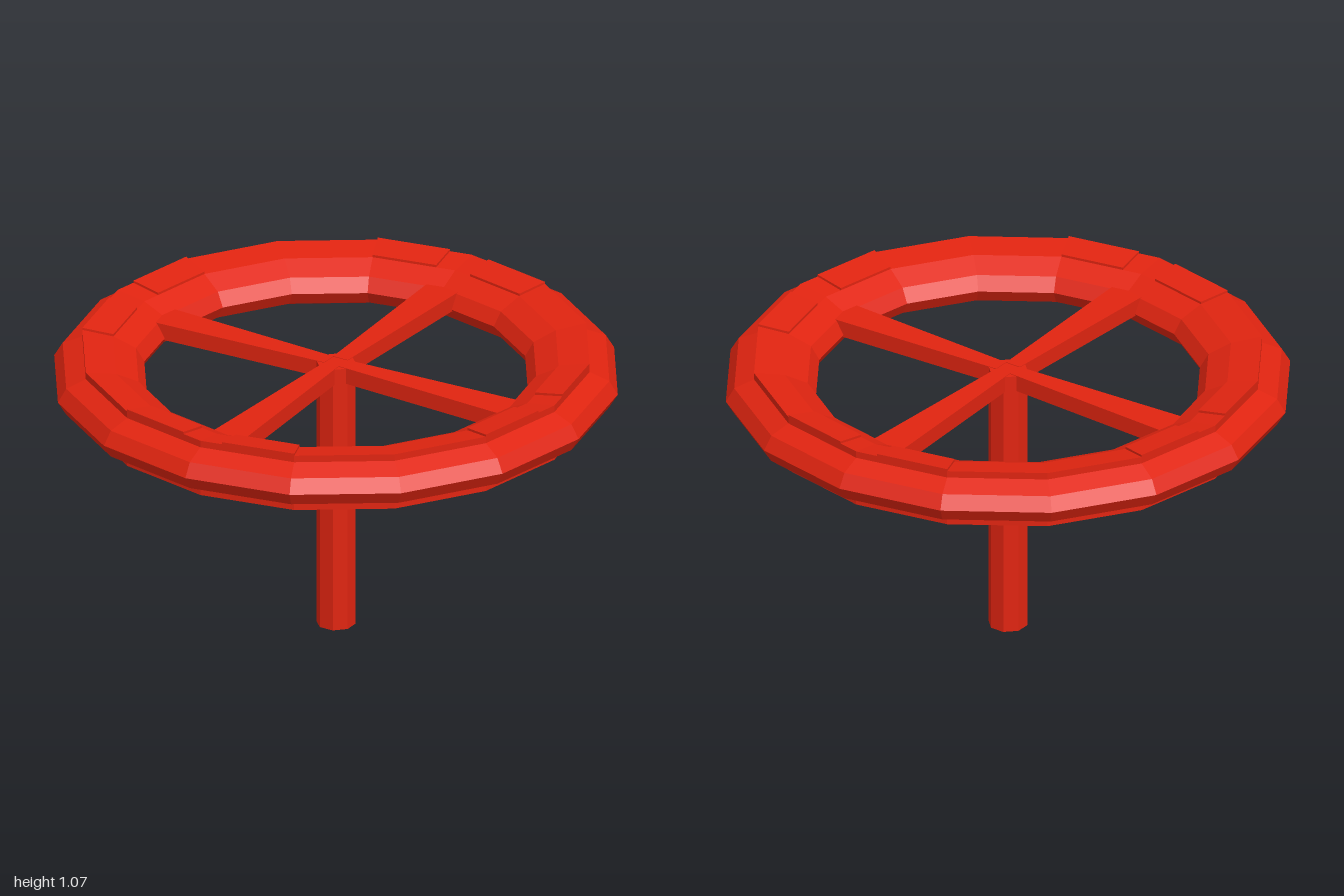
import * as THREE from 'three';

const SIDES = 16;
const STEP = (Math.PI * 2) / SIDES;

// Reshape a unit box by a rule: (x, y, z) in -0.5..0.5 -> new position
function warpBox(rule) {
  const geo = new THREE.BoxGeometry(1, 1, 1);
  const p = geo.attributes.position;
  for (let i = 0; i < p.count; i++) p.setXYZ(i, ...rule(p.getX(i), p.getY(i), p.getZ(i)));
  geo.computeVertexNormals();
  return geo;
}

// Raised pad lying on one facet of the rim, between fractions t0 and t1 of it
function padGeometry(facet, t0, t1) {
  const a = facet * STEP, b = a + STEP;
  return warpBox((x, y, z) => {
    const t = x < 0 ? t0 : t1;
    const r = z > 0 ? 0.9 : 0.79;
    const h = (z > 0 ? 1.07 : 1.054) - (y < 0 ? 0.035 : 0);
    return [
      r * THREE.MathUtils.lerp(Math.sin(a), Math.sin(b), t),
      h,
      r * THREE.MathUtils.lerp(Math.cos(a), Math.cos(b), t),
    ];
  });
}

export function createModel() {
  const group = new THREE.Group();
  const red = new THREE.MeshStandardMaterial({ color: 0xe02410 });
  red.flatShading = true;

  const add = (name, geo, parent = group) => {
    const mesh = new THREE.Mesh(geo, red);
    mesh.name = name;
    parent.add(mesh);
    return mesh;
  };

  // Rim: faceted ring with a small step on the crest, mirrored top to bottom
  const mid = 0.957;
  const upper = [[1, 0], [0.97, 0.05], [0.9, 0.08], [0.9, 0.105], [0.79, 0.088], [0.71, 0.05], [0.68, 0]];
  const lower = upper.slice(1, -1).reverse().map(([r, h]) => [r, -h]);
  const loop = [...upper, ...lower, upper[0]].map(([r, h]) => new THREE.Vector2(r, mid + h));
  add('rim', new THREE.LatheGeometry(loop, SIDES));

  // Grip pads: a pair beside each spoke
  const pads = new THREE.Group();
  pads.name = 'gripPads';
  group.add(pads);
  for (let i = 0; i < 4; i++) {
    add('gripPad', padGeometry(i * 4, 0.23, 1), pads);
    add('gripPad', padGeometry(i * 4 - 1, 0, 0.77), pads);
  }

  // Spokes: widen from the hub to the rim
  const spoke = warpBox((x, y, z) => [
    x * (z > 0 ? 0.13 : 0.06),
    0.98 + y * 0.06,
    z > 0 ? 0.72 : 0.03,
  ]);
  for (let i = 0; i < 4; i++) add('spoke', spoke).rotation.y = (i * Math.PI) / 2;

  // Post: octagonal stem with a flat face to the front, reaching the spoke tops
  const post = new THREE.CylinderGeometry(0.07, 0.07, 1.008, 8);
  post.rotateY(Math.PI / 8);
  add('post', post).position.y = 0.504;

  return group;
}
